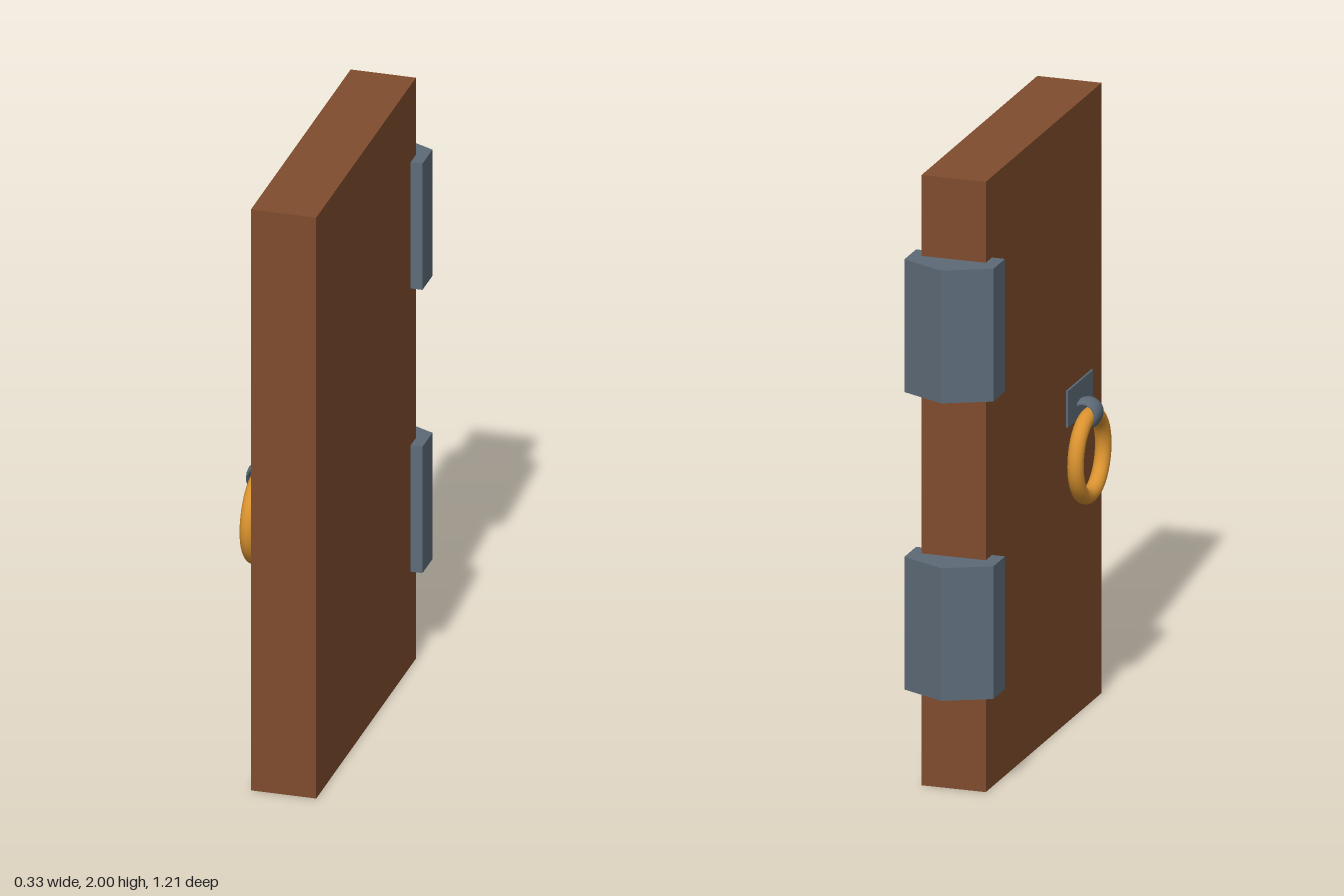
import * as THREE from 'three';

const wood = new THREE.MeshStandardMaterial({ color: 0x7f4c2d });
wood.name = 'wood';
const steel = new THREE.MeshStandardMaterial({ color: 0x5d6b78 });
steel.name = 'steel';
const brass = new THREE.MeshStandardMaterial({ color: 0xd9922f });
brass.name = 'brass';

export function createModel() {
  const model = new THREE.Group();
  model.name = 'door';

  const add = (name, geometry, material, x, y, z) => {
    const mesh = new THREE.Mesh(geometry, material);
    mesh.name = name;
    mesh.position.set(x, y, z);
    model.add(mesh);
    return mesh;
  };

  // Door slab
  add('doorPanel', new THREE.BoxGeometry(0.213, 2, 1.086), wood, 0.018, 1, 0.062);

  // Hinges: pointed five-sided blocks wrapped around the back edge
  const outline = new THREE.Shape(
    [[-0.132, 0.423], [0.163, 0.423], [0.163, 0.532], [0.0155, 0.605], [-0.132, 0.532]]
      .map(([x, y]) => new THREE.Vector2(x, y))
  );
  const hinge = new THREE.ExtrudeGeometry(outline, { depth: 0.435, bevelEnabled: false });
  hinge.rotateX(-Math.PI / 2); // outline y becomes -z, depth becomes height
  add('lowerHinge', hinge, steel, 0, 0.325, 0);
  add('upperHinge', hinge, steel, 0, 1.3, 0);

  // Handle: back plate, slightly bulged loop and hanging ring
  add('handlePlate', new THREE.BoxGeometry(0.008, 0.12, 0.236), steel, -0.0915, 1.03, 0.388);

  const loopProfile = [
    [0.036, -0.035], [0.045, -0.035], [0.049, -0.018], [0.051, 0],
    [0.049, 0.018], [0.045, 0.035], [0.036, 0.035], [0.036, -0.035],
  ].map(([r, h]) => new THREE.Vector2(r, h));
  const loop = new THREE.LatheGeometry(loopProfile, 24);
  loop.rotateX(Math.PI / 2);
  add('handleLoop', loop, steel, -0.114, 0.985, 0.39);

  const ring = new THREE.TorusGeometry(0.13, 0.026, 16, 40);
  ring.rotateY(Math.PI / 2);
  add('handleRing', ring, brass, -0.124, 0.848, 0.39);

  return model;
}
